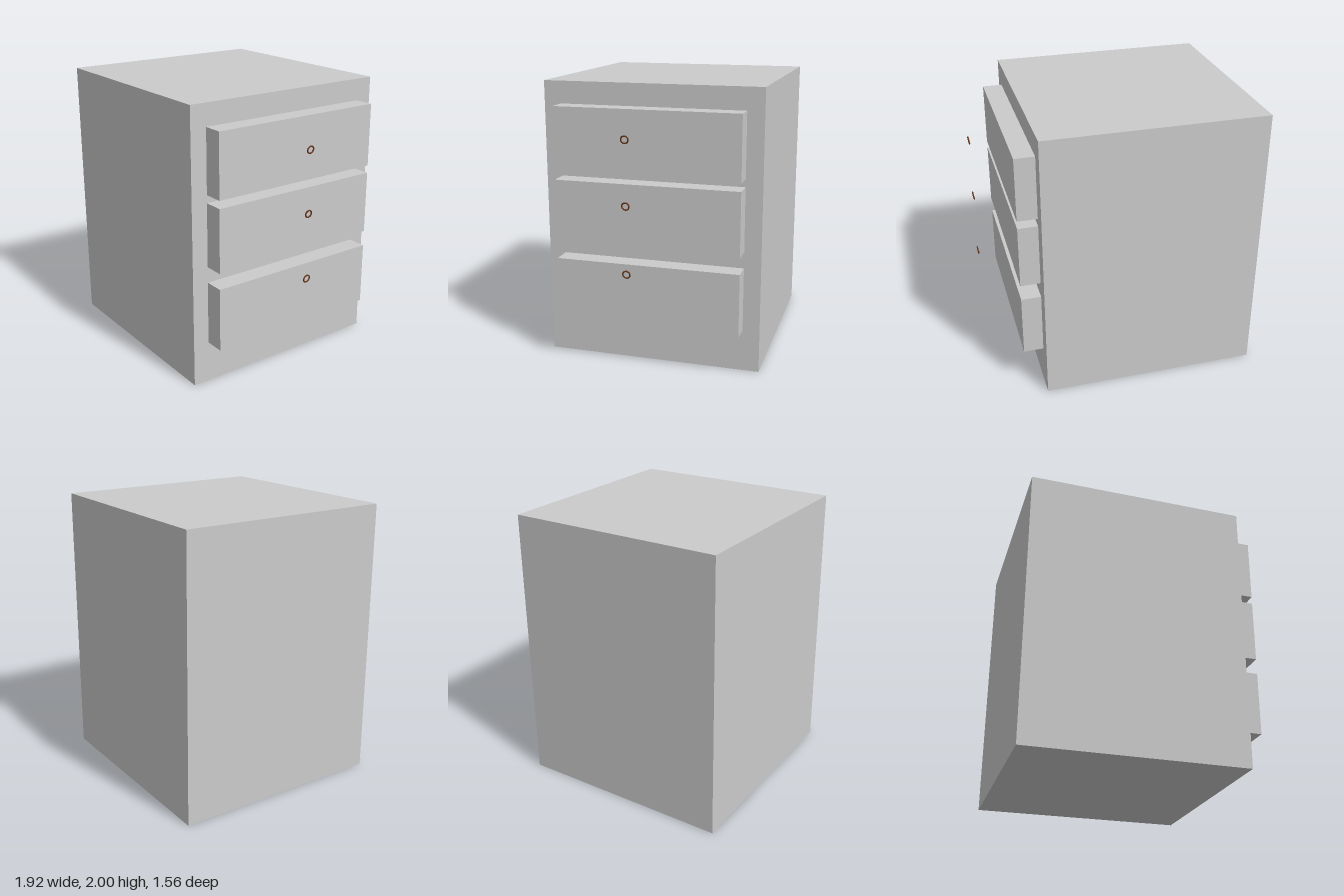
import * as THREE from 'three';

export function createModel() {
  const model = new THREE.Group();
  const grey = new THREE.MeshStandardMaterial({ color: 0xcccccc });
  const brown = new THREE.MeshStandardMaterial({ color: 0x6b3a1e });

  // Box given by its lower and upper corners
  const box = (name, [x0, y0, z0], [x1, y1, z1]) => {
    const mesh = new THREE.Mesh(new THREE.BoxGeometry(x1 - x0, y1 - y0, z1 - z0), grey);
    mesh.position.set((x0 + x1) / 2, (y0 + y1) / 2, (z0 + z1) / 2);
    mesh.name = name;
    model.add(mesh);
  };

  // Cabinet body
  box('cabinet', [-0.96, 0, -0.78], [0.61, 2, 0.78]);

  // Ring pull facing +x, its top leaning slightly outwards
  const ring = new THREE.TorusGeometry(0.025, 0.005, 12, 32);
  ring.rotateY(Math.PI / 2).rotateZ(-0.14);

  // Drawers on the +x side, each with a ring pull floating in front
  const drawers = [
    { name: 'bottom', y: 0.3, pullY: 0.755 },
    { name: 'middle', y: 0.872, pullY: 1.228 },
    { name: 'top', y: 1.385, pullY: 1.672 },
  ];
  for (const { name, y, pullY } of drawers) {
    box(`${name}Drawer`, [0.6, y, -0.66], [0.752, y + 0.457, 0.66]);
    const pull = new THREE.Mesh(ring, brown);
    pull.position.set(0.95, pullY, 0.073);
    pull.name = `${name}RingPull`;
    model.add(pull);
  }
  return model;
}
